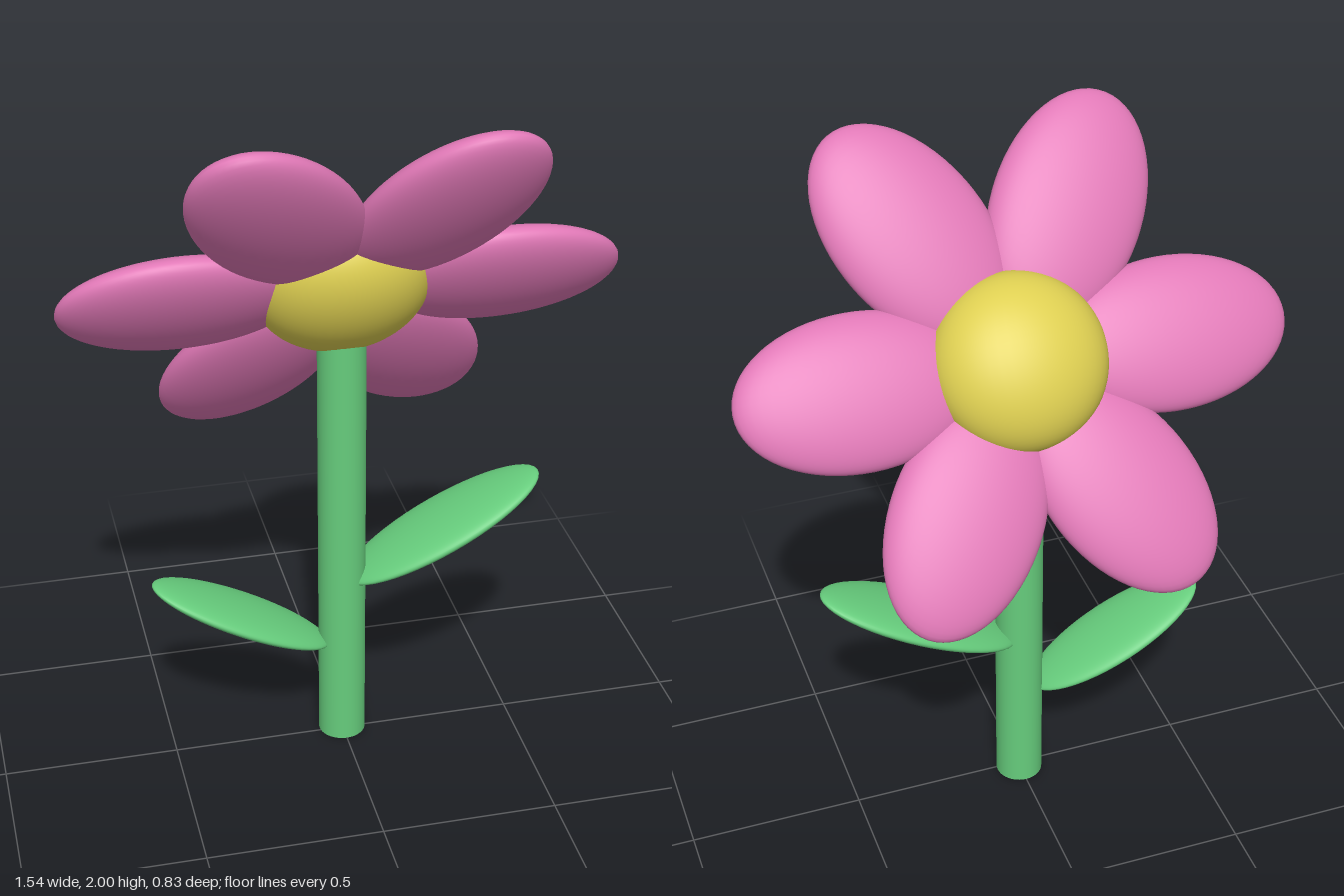
import * as THREE from 'three';

const petalPink = new THREE.MeshStandardMaterial({ name: 'petalPink', color: 0xe078b6 });
const centreYellow = new THREE.MeshStandardMaterial({ name: 'centreYellow', color: 0xdfd052 });
const leafGreen = new THREE.MeshStandardMaterial({ name: 'leafGreen', color: 0x66cc7c });

// Smooth ellipsoid with the given half sizes
function ellipsoid(name, material, rx, ry, rz) {
  const geometry = new THREE.SphereGeometry(1, 48, 32).scale(rx, ry, rz);
  const mesh = new THREE.Mesh(geometry, material);
  mesh.name = name;
  return mesh;
}

export function createModel() {
  const flower = new THREE.Group();
  flower.name = 'flower';

  // Stem, running up into the flower head
  const stem = new THREE.Mesh(new THREE.CylinderGeometry(0.068, 0.068, 1.4, 40), leafGreen);
  stem.name = 'stem';
  stem.position.set(0, 0.7, -0.012);
  flower.add(stem);

  // Two flat leaves rising outwards, the right one smaller and lower
  for (const [name, side, y, size] of [['leftLeaf', 1, 0.658, 1], ['rightLeaf', -1, 0.44, 0.9]]) {
    const leaf = ellipsoid(name, leafGreen, 0.317 * size, 0.037 * size, 0.137 * size);
    leaf.position.set(side * 0.294, y, -0.01);
    leaf.rotation.z = side * 0.475;
    flower.add(leaf);
  }

  // Head tilted up and back, its face pointing along local -z
  const head = new THREE.Group();
  head.name = 'head';
  head.position.set(0, 1.443, 0);
  head.rotation.x = 0.628;
  flower.add(head);

  const centre = ellipsoid('centre', centreYellow, 0.243, 0.243, 0.165);
  centre.position.z = -0.016;
  head.add(centre);

  // Ring of six petals
  for (let i = 0; i < 6; i++) {
    const angle = (i * Math.PI) / 3;
    const petal = ellipsoid('petal' + (i + 1), petalPink, 0.334, 0.21, 0.077);
    petal.position.set(0.436 * Math.cos(angle), 0.436 * Math.sin(angle), 0);
    petal.rotation.z = angle;
    head.add(petal);
  }

  return flower;
}
